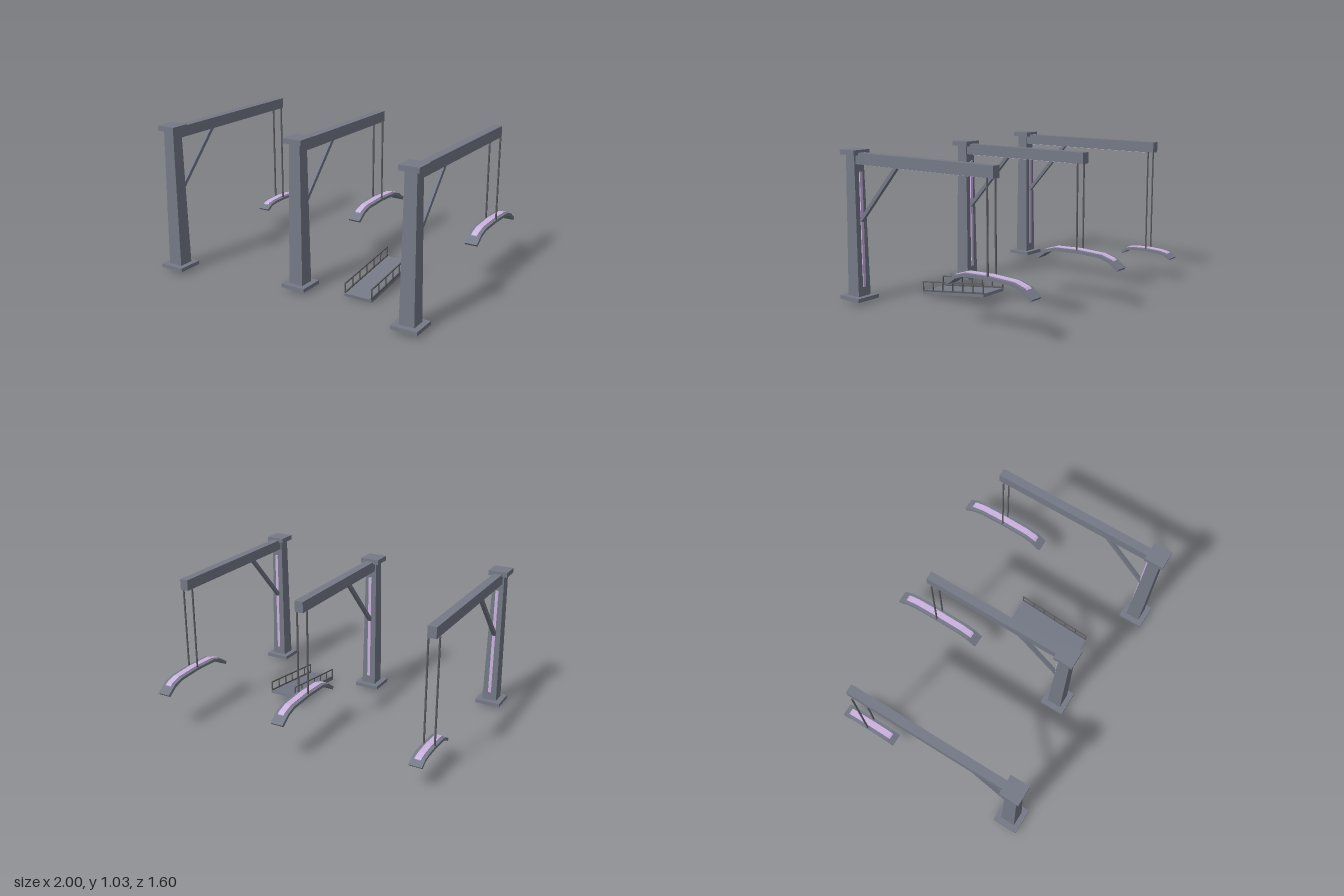
import * as THREE from 'three';

const mat = (name, color) => {
  const m = new THREE.MeshStandardMaterial({ color });
  m.name = name;
  m.flatShading = true;
  return m;
};

export function createModel() {
  const stone = mat('slate grey', 0x747986);
  const iron = mat('dark iron', 0x5c5c60);
  const glow = mat('pale violet', 0xcbb2e0);
  const root = new THREE.Group();

  const add = (parent, name, geo, material, x = 0, y = 0, z = 0) => {
    const m = new THREE.Mesh(geo, material);
    m.name = name;
    m.position.set(x, y, z);
    parent.add(m);
    return m;
  };
  const box = (parent, name, material, w, h, d, x, y, z) =>
    add(parent, name, new THREE.BoxGeometry(w, h, d), material, x, y, z);

  // Curved slab: half profile of [offset, y] from the middle out, mirrored and extruded along x
  const slab = (top, bottom, width) => {
    const full = half => [...half.slice(1).reverse().map(([a, y]) => [-a, y]), ...half];
    const pts = [...full(bottom), ...full(top).reverse()].map(p => new THREE.Vector2(...p));
    const geo = new THREE.ExtrudeGeometry(new THREE.Shape(pts), { depth: width, bevelEnabled: false });
    return geo.translate(0, 0, -width / 2).rotateY(-Math.PI / 2);
  };

  // Cut a half profile at a given offset
  const clip = (half, end) => {
    const i = half.findIndex(p => p[0] > end);
    const [a, b] = [half[i - 1], half[i]];
    const t = (end - a[0]) / (b[0] - a[0]);
    return [...half.slice(0, i), [end, a[1] + t * (b[1] - a[1])]];
  };

  const large = {
    top: [[0, 0.363], [0.19, 0.355], [0.265, 0.332], [0.335, 0.281]],
    bottom: [[0, 0.343], [0.185, 0.335], [0.255, 0.312], [0.32, 0.266]],
    strip: 0.28,
  };
  const small = {
    top: [[0, 0.218], [0.11, 0.213], [0.162, 0.204], [0.215, 0.172]],
    bottom: [[0, 0.199], [0.105, 0.195], [0.155, 0.186], [0.2, 0.158]],
    strip: 0.175,
  };
  const hangZ = -0.465, beamEnd = -0.503;

  const crane = (x, z, arch) => {
    const g = new THREE.Group();
    g.name = 'crane';
    g.position.x = x;
    root.add(g);

    // Tapered pillar with base, cap and rear light strip
    box(g, 'pillarBase', stone, 0.18, 0.026, 0.18, 0, 0.036, z);
    const pillar = new THREE.CylinderGeometry(0.04 * Math.SQRT2, 0.052 * Math.SQRT2, 0.955, 4, 1);
    add(g, 'pillar', pillar.rotateY(Math.PI / 4), stone, 0, 0.5225, z);
    box(g, 'pillarCap', stone, 0.135, 0.034, 0.135, 0, 1.017, z);
    box(g, 'pillarLight', glow, 0.022, 0.78, 0.008, 0, 0.5, z - 0.052);

    // Horizontal beam, its underside light and the diagonal brace
    box(g, 'beam', stone, 0.06, 0.075, z - beamEnd, 0, 0.978, (z + beamEnd) / 2);
    const l0 = z - 0.08, l1 = beamEnd + 0.08;
    box(g, 'beamLight', glow, 0.022, 0.005, l0 - l1, 0, 0.939, (l0 + l1) / 2);
    const a = new THREE.Vector3(0, 0.562, z - 0.046), b = new THREE.Vector3(0, 0.95, z - 0.4);
    const brace = box(g, 'brace', stone, 0.025, 0.025, a.distanceTo(b), 0, 0, 0);
    brace.position.lerpVectors(a, b, 0.5);
    brace.rotation.x = Math.atan2(b.y - a.y, a.z - b.z);

    // Hanging arched platform with light strip
    add(g, 'archedPlatform', slab(arch.top, arch.bottom, 0.09), stone, 0, 0, hangZ);
    const line = clip(arch.top, arch.strip);
    const raised = line.map(([o, y]) => [o, y + 0.005]);
    add(g, 'platformLight', slab(raised, line, 0.044), glow, 0, 0, hangZ);
    const rodEnd = arch.bottom[0][1] + 0.01, rodTop = 0.945;
    for (const s of [-1, 1]) {
      const rod = new THREE.CylinderGeometry(0.0065, 0.0065, rodTop - rodEnd, 6);
      add(g, 'hangerRod', rod, iron, s * 0.037, (rodTop + rodEnd) / 2, hangZ);
    }
  };
  crane(-0.91, 0.71, small);
  crane(0, 0.55, large);
  crane(0.91, 0.71, large);

  // Sloped ramp with railings
  const ramp = new THREE.Group();
  ramp.name = 'ramp';
  ramp.position.x = 0.417;
  root.add(ramp);
  const z0 = 0.5, z1 = -0.06, rise = 0.073;
  const slope = Math.atan2(rise, z0 - z1), length = Math.hypot(rise, z0 - z1);
  const sloped = (name, material, w, h, x, y) => {
    const m = box(ramp, name, material, w, h, length, x, y + rise / 2, (z0 + z1) / 2);
    m.rotation.x = slope;
  };
  sloped('rampDeck', stone, 0.206, 0.021, 0, 0.012);
  for (const s of [-1, 1]) {
    const x = s * 0.099;
    sloped('lowerRail', iron, 0.008, 0.01, x, 0.027);
    sloped('handrail', iron, 0.008, 0.008, x, 0.09);
    for (let i = 0; i <= 6; i++) {
      const t = i / 6;
      box(ramp, 'railPost', iron, 0.007, 0.066, 0.007, x,
        0.057 + rise * t, THREE.MathUtils.lerp(z0 - 0.004, z1 + 0.004, t));
    }
  }
  return root;
}
